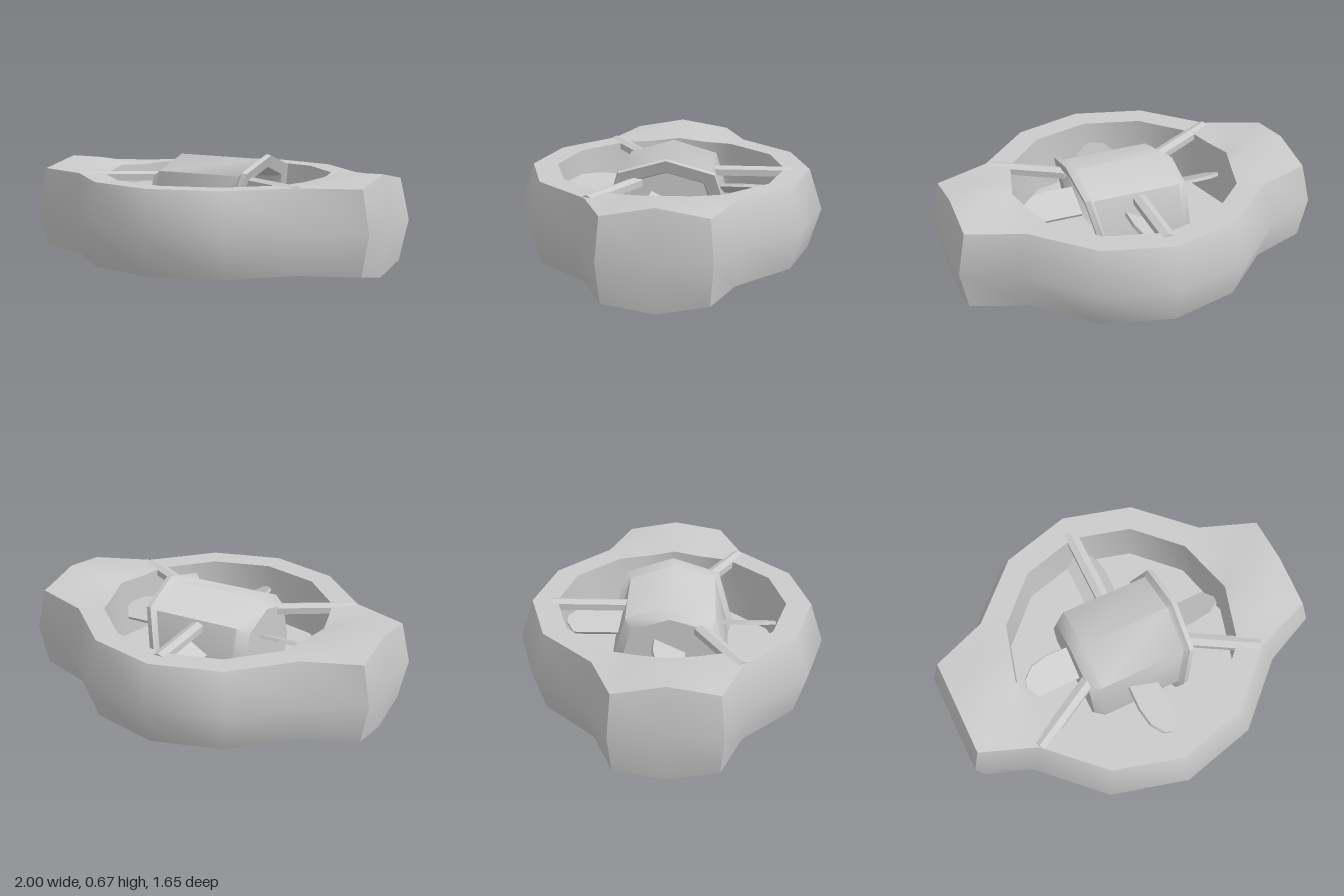
import * as THREE from 'three';
import { toCreasedNormals } from 'three/addons/utils/BufferGeometryUtils.js';

const material = new THREE.MeshStandardMaterial({ color: 0xcccccc });
const thinMaterial = new THREE.MeshStandardMaterial({ color: 0xcccccc, side: THREE.DoubleSide });
const MID = 0.335;

// Skin a closed loop of cross-sections; each section is a list of [x, y, z].
function loft(sections, closedSection) {
  const n = sections.length, m = sections[0].length, index = [];
  for (let i = 0; i < n; i++) {
    const next = (i + 1) % n;
    for (let j = 0; j < (closedSection ? m : m - 1); j++) {
      const k = (j + 1) % m;
      const a = i * m + j, b = i * m + k, c = next * m + k, d = next * m + j;
      index.push(a, b, c, a, c, d);
    }
  }
  const geometry = new THREE.BufferGeometry();
  geometry.setAttribute('position', new THREE.Float32BufferAttribute(sections.flat(2), 3));
  geometry.setIndex(index);
  return toCreasedNormals(geometry, 0.87);
}

function add(parent, name, geometry, mat = material) {
  const mesh = new THREE.Mesh(geometry, mat);
  mesh.name = name;
  parent.add(mesh);
  return mesh;
}

// Ring hull: a quarter of stations, each with inner, middle, outer rim and widest point in x, z
// followed by the lift of the first three above the rim.
function ringHull() {
  const quarter = [
    [[0, 0.62], [0, 0.69], [0, 0.755], [0, 0.825], [0, 0, 0]],
    [[0.31, 0.537], [0.34, 0.596], [0.37, 0.655], [0.41, 0.718], [0, 0, 0]],
    [[0.537, 0.31], [0.596, 0.345], [0.655, 0.38], [0.72, 0.415], [0, 0, 0]],
    [[0.58, 0.15], [0.76, 0.21], [0.955, 0.268], [1, 0.285], [0, 0.01, 0]],
    [[0.62, 0], [0.76, 0], [0.955, 0], [1, 0], [0.01, 0.047, 0.047]],
  ];
  const section = (q, sx, sz) => {
    const [inner, middle, outer, widest, lift] = quarter[q];
    const at = ([x, z], h) => [x * sx, MID + h, z * sz];
    const H = 0.222;
    return [
      at(inner, -H - lift[0]), at(inner, H + lift[0]), at(middle, H + lift[1]),
      at(outer, H + lift[2]), at(widest, 0), at(outer, -H - lift[2]), at(middle, -H - lift[1]),
    ];
  };
  const sections = [];
  for (const q of [0, 1, 2, 3, 4]) sections.push(section(q, 1, 1));
  for (const q of [3, 2, 1, 0]) sections.push(section(q, 1, -1));
  for (const q of [1, 2, 3, 4]) sections.push(section(q, -1, -1));
  for (const q of [3, 2, 1]) sections.push(section(q, -1, 1));
  return loft(sections, true);
}

// Hollow eight-sided pod along x; its open end and lip lean with height.
function podGeometry() {
  // x, radius, lean
  const profile = [
    [-0.29, 0, 0], [-0.29, 0.265, 0], [-0.23, 0.31, 0], [0.195, 0.306, 0.24],
    [0.215, 0.335, 0.24], [0.243, 0.328, 0.24], [0.238, 0.265, 0.24],
    [0.2, 0.25, 0.24], [-0.2, 0.25, 0], [-0.2, 0, 0],
  ];
  const sections = [];
  for (let i = 0; i < 8; i++) {
    const a = (i * Math.PI) / 4;
    const fat = i % 2 ? 1.09 : 1;
    sections.push(profile.map(([x, r, lean]) => {
      const y = Math.cos(a) * r * fat;
      return [x + y * lean, MID + 0.005 + y, -Math.sin(a) * r * fat];
    }));
  }
  return loft(sections, false);
}

// Floor across the ring, cut out where the pod passes through.
function floorGeometry() {
  const shape = new THREE.Shape();
  for (let i = 0; i < 12; i++) {
    const a = (i * Math.PI) / 6;
    shape[i ? 'lineTo' : 'moveTo'](0.62 * Math.cos(a), 0.62 * Math.sin(a));
  }
  const hole = new THREE.Path();
  hole.moveTo(-0.24, -0.27).lineTo(-0.24, 0.27).lineTo(0.17, 0.27).lineTo(0.17, -0.27).closePath();
  shape.holes.push(hole);
  return new THREE.ShapeGeometry(shape).rotateX(-Math.PI / 2).translate(0, 0.23, 0);
}

function extrude(points, depth) {
  const shape = new THREE.Shape(points.map(([x, y]) => new THREE.Vector2(x, y)));
  return new THREE.ExtrudeGeometry(shape, { depth, bevelEnabled: false });
}

export function createModel() {
  const model = new THREE.Group();
  model.name = 'ringPod';

  add(model, 'ringHull', ringHull());
  add(model, 'ringFloor', floorGeometry(), thinMaterial);
  add(model, 'centralPod', podGeometry());

  // Four pitched fan blades with one clipped corner
  const blades = new THREE.Group();
  blades.name = 'fanBlades';
  const blade = extrude(
    [[-0.09, 0.26], [0.09, 0.26], [0.09, 0.53], [0.02, 0.57], [-0.02, 0.565], [-0.075, 0.5], [-0.095, 0.4]], 0.018)
    .rotateX(Math.PI / 2).rotateZ(-0.45).translate(0, 0.45, 0);
  for (let i = 0; i < 4; i++) add(blades, 'fanBlade', blade).rotation.y = (i * Math.PI) / 2;
  model.add(blades);

  // Three ridged struts from the pod to the rim
  const struts = new THREE.Group();
  struts.name = 'struts';
  const outline = [[-0.035, 0.52], [0.035, 0.52], [0.035, 0.555], [0, 0.568], [-0.035, 0.555]];
  for (const [angle, start, end] of [[Math.PI, 0.21, 0.655], [Math.PI / 3, 0.31, 0.74], [-Math.PI / 3, 0.29, 0.75]]) {
    const strut = extrude(outline, end - start).translate(0, 0, start);
    add(struts, 'strut', strut).rotation.y = angle;
  }
  model.add(struts);

  return model;
}
